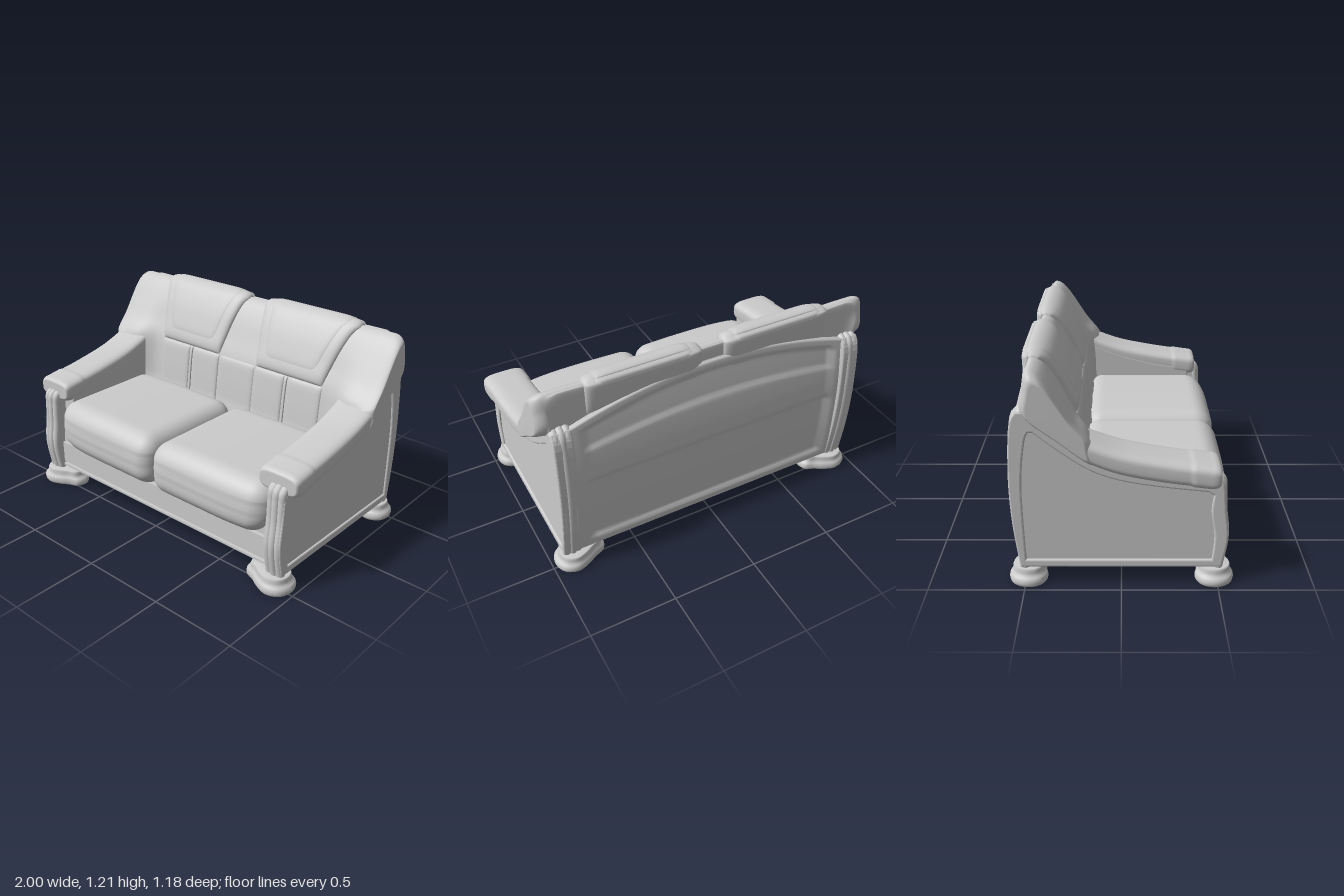
import * as THREE from 'three';
import { mergeVertices } from 'three/addons/utils/BufferGeometryUtils.js';

const material = new THREE.MeshStandardMaterial({ color: 0xcccccc, side: THREE.DoubleSide });
const { lerp, smoothstep, clamp } = THREE.MathUtils;

function add(parent, name, geometry) {
  const mesh = new THREE.Mesh(geometry, material);
  mesh.name = name;
  parent.add(mesh);
  return mesh;
}

// Smooth surface from a rule fn(u, v) -> [x, y, z]
function grid(nu, nv, fn) {
  const pos = [], idx = [];
  for (let j = 0; j <= nv; j++)
    for (let i = 0; i <= nu; i++) pos.push(...fn(i / nu, j / nv));
  for (let j = 0; j < nv; j++)
    for (let i = 0; i < nu; i++) {
      const a = j * (nu + 1) + i, d = a + nu + 1;
      idx.push(a, a + 1, d, a + 1, d + 1, d);
    }
  let g = new THREE.BufferGeometry();
  g.setAttribute('position', new THREE.Float32BufferAttribute(pos, 3));
  g.setIndex(idx);
  g = mergeVertices(g, 1e-5);
  g.computeVertexNormals();
  return g;
}

const box = (x0, x1, y0, y1, z0, z1) =>
  new THREE.BoxGeometry(x1 - x0, y1 - y0, z1 - z0).translate((x0 + x1) / 2, (y0 + y1) / 2, (z0 + z1) / 2);

// Backrest profiles as [z, y]: up the front, over the top, down the rear
const profile = pts => new THREE.CatmullRomCurve3(pts.map(([z, y]) => new THREE.Vector3(0, y, z)), true, 'catmullrom', 0.5);
const shoulder = [[-0.165, 0.835], [-0.235, 0.92], [-0.3, 1.02], [-0.36, 1.11], [-0.41, 1.163], [-0.455, 1.17], [-0.476, 1.1]];
const middleProfile = profile([[-0.19, 0.45], [-0.2, 0.58], [-0.215, 0.72], [-0.235, 0.835], [-0.285, 0.95], [-0.33, 1.05],
  [-0.38, 1.13], [-0.42, 1.165], [-0.46, 1.165], [-0.477, 1.1], [-0.48, 0.5], [-0.33, 0.45]]);
const wingProfile = profile([[-0.16, 0.5], [-0.15, 0.6], [-0.145, 0.73], ...shoulder, [-0.48, 0.5], [-0.33, 0.48]]);
const endProfile = profile([[-0.14, 0.69], [-0.14, 0.75], [-0.145, 0.8], ...shoulder, [-0.48, 0.96], [-0.3, 0.81]]);

function backPoint(x, t) {
  const ax = Math.abs(x), p = middleProfile.getPoint(t);
  p.lerp(wingProfile.getPoint(t), smoothstep(ax, 0.66, 0.84));
  p.lerp(endProfile.getPoint(t), smoothstep(ax, 0.87, 0.94));
  p.x = x;
  return p;
}

function backrest() {
  return grid(80, 96, (u, t) => {
    const s = 2 * u - 1, a = Math.abs(s);
    const q = clamp((a - 0.75) / 0.2, 0, 1) * Math.PI / 2;
    const x = Math.sign(s) * (a < 0.75 ? a / 0.75 * 0.93 : 0.93 + 0.07 * Math.sin(q));
    const k = a > 0.99 ? 0 : 1 - 0.22 * (1 - Math.cos(q));
    const p = backPoint(x, t);
    return [x, lerp(0.93, p.y, k), lerp(-0.32, p.z, k)];
  });
}

// Padded panel lying on the backrest; edges(t) gives its left and right x
function pad(t0, t1, edges, height, n = 28) {
  const ease = w => 0.5 + 0.5 * Math.sin((w - 0.5) * Math.PI);
  const rim = w => Math.sqrt(Math.max(0, 1 - Math.abs(2 * w - 1) ** 12));
  return grid(n, n * 2, (u, v) => {
    const a = ease(u), b = ease(v), t = lerp(t0, t1, b);
    const [l, r] = edges(t), x = lerp(l, r, a);
    const p = backPoint(x, t);
    const up = backPoint(x, t + 0.002).sub(backPoint(x, t - 0.002));
    const out = new THREE.Vector3(1, 0, 0).cross(up).normalize();
    p.addScaledVector(out, height * rim(a) * rim(b) - 0.004);
    return [p.x, p.y, p.z];
  });
}

// Seat cushion: rounded block with swollen faces and a tucked seam band
function cushion(w, h, d, r) {
  let g = new THREE.BoxGeometry(2, 2, 2, 36, 36, 36);
  g.deleteAttribute('uv');
  g.deleteAttribute('normal');
  g = mergeVertices(g);
  const p = g.attributes.position, half = new THREE.Vector3(w / 2, h / 2, d / 2);
  const v = new THREE.Vector3(), core = new THREE.Vector3();
  for (let i = 0; i < p.count; i++) {
    v.fromBufferAttribute(p, i);
    v.set(...v.toArray().map(c => Math.sin(c * Math.PI / 2))).multiply(half);
    core.set(...['x', 'y', 'z'].map(k => clamp(v[k], r - half[k], half[k] - r)));
    v.sub(core).setLength(r).add(core);
    const fx = v.x / half.x, fy = v.y / half.y;
    if (v.y > 0) v.y += 0.012 * (1 - fx * fx) * fy;
    if (v.z > 0) {
      const front = v.z / half.z;
      v.z += front * (0.02 * (1 - fy * fy) - 0.035 * Math.max(0, fx) ** 3);
      for (const s of [-0.02, 0.035, 0.052]) v.z -= 0.005 * front ** 4 * Math.exp(-(((v.y - s) / 0.006) ** 2));
      // the lower outer corner sweeps inward
      v.x -= 0.06 * Math.max(0, fx) * Math.max(0, -fy) ** 2;
    }
    p.setXYZ(i, v.x, v.y, v.z);
  }
  g.computeVertexNormals();
  return g;
}

// Armrest: rounded section swept between an underside and a top curve
function armrest() {
  const curve = pts => new THREE.SplineCurve(pts.map(p => new THREE.Vector2(...p)));
  const top = curve([[-0.21, 0.85], [-0.15, 0.82], [0, 0.77], [0.2, 0.73], [0.35, 0.707], [0.45, 0.692]]);
  const under = curve([[-0.21, 0.735], [-0.15, 0.69], [0, 0.632], [0.2, 0.592], [0.35, 0.572], [0.45, 0.56]]);
  const round = c => Math.sign(c) * Math.abs(c) ** 0.55;
  return grid(48, 70, (u, v) => {
    const q = clamp((v - 0.8) / 0.17, 0, 1) * Math.PI / 2, w = Math.min(v / 0.8, 1);
    const a = top.getPoint(w), b = under.getPoint(w);
    const k = v > 0.99 ? 0 : 1 - 0.35 * (1 - Math.cos(q));
    const cuff = 0.005 * (smoothstep(a.x, 0.345, 0.36) - 1);
    const th = u * Math.PI * 2;
    return [0.873 + round(Math.cos(th)) * (0.127 + cuff) * (1 - (1 - k) * 0.4) * (k ? 1 : 0),
      (a.y + b.y) / 2 + round(Math.sin(th)) * ((a.y - b.y) / 2 + cuff) * k, a.x + 0.045 * Math.sin(q)];
  });
}

// Upright slab drawn in (z, y) and given thickness inward from x = xOuter
function slab(outline, xOuter, depth, bevel, hole) {
  const path = (C, pts) => new C(pts.map(p => new THREE.Vector2(...p)));
  const shape = path(THREE.Shape, outline);
  if (hole) shape.holes.push(path(THREE.Path, hole));
  return new THREE.ExtrudeGeometry(shape, { depth, bevelEnabled: bevel > 0, bevelSize: bevel, bevelThickness: bevel, bevelSegments: 3 })
    .rotateY(-Math.PI / 2).translate(xOuter - bevel, 0, 0);
}
const smoothOutline = (pts, n) => new THREE.SplineCurve(pts.map(p => new THREE.Vector2(...p))).getPoints(n).map(p => [p.x, p.y]);

function foot() {
  const ring = new THREE.CatmullRomCurve3([[0.985, 0.49], [0.955, 0.56], [0.885, 0.588], [0.81, 0.565], [0.75, 0.53], [0.695, 0.505],
    [0.68, 0.44], [0.73, 0.39], [0.82, 0.4], [0.9, 0.385], [0.965, 0.42]].map(([x, z]) => new THREE.Vector3(x, 0, z)), true);
  const layers = [[0, 0], [0.93, 0], [0.98, 0.008], [1, 0.022], [0.98, 0.038], [0.92, 0.048], [0.84, 0.056], [0.81, 0.07],
    [0.81, 0.085], [0.77, 0.095], [0, 0.095]];
  return grid(44, layers.length - 1, (u, v) => {
    const [k, y] = layers[Math.round(v * (layers.length - 1))], p = ring.getPoint(1 - u);
    return [lerp(0.84, p.x, k), y, lerp(0.485, p.z, k)];
  });
}

// Bowed rear panel with an arched top and two soft recesses
function rearPanel() {
  const n = 64;
  return grid(60, n, (u, v) => {
    const x = 0.84 * (1 - 2 * u), arch = 0.13 * (x / 0.84) ** 2, top = 1.095 - arch, j = Math.round(v * n);
    const y = lerp(0.1, top, Math.min(j / (n - 3), 1));
    const z = -0.548 + 0.18 * Math.max(0, y - 0.62) ** 1.6 + 0.14 * Math.max(0, 0.55 - y) ** 2;
    if (j === n - 2) return [x, top, z + 0.025];
    if (j > n - 2) return [x, j === n ? 0.4 : top - 0.02, -0.485];
    const step = (e, c) => smoothstep(c, e - 0.013, e + 0.013);
    const side = step(-0.77, x) * (1 - step(0.77, x));
    const upper = step(0.87 - arch * 0.6, y) * (1 - step(1.04 - arch, y));
    const lower = step(0.16, y) * (1 - step(0.6, y));
    const band = step(0.16, y) * (1 - step(1.04 - arch, y));
    return [x, y, z + side * (0.007 * band + 0.01 * (upper + lower))];
  });
}

function sideParts() {
  const side = new THREE.Group();
  const topEdge = smoothOutline([[0.46, 0.568], [0.2, 0.6], [0, 0.64], [-0.15, 0.7], [-0.3, 0.8], [-0.47, 0.955]], 24);
  const outline = [...smoothOutline([[0.51, 0.11], [0.535, 0.27], [0.52, 0.42], [0.51, 0.54]], 14), [0.49, 0.575], ...topEdge,
    ...smoothOutline([[-0.51, 0.955], [-0.54, 0.88], [-0.555, 0.6], [-0.545, 0.35], [-0.515, 0.11]], 16)];
  const opening = [...smoothOutline([[0.475, 0.135], [0.485, 0.28], [0.465, 0.42], [0.475, 0.52]], 12),
    ...smoothOutline([[0.44, 0.543], [0.2, 0.57], [0, 0.605], [-0.15, 0.66], [-0.3, 0.76], [-0.43, 0.865]], 20),
    ...smoothOutline([[-0.46, 0.865], [-0.485, 0.8], [-0.51, 0.55], [-0.5, 0.135]], 10)];
  add(side, 'sideFrame', slab(outline, 0.942, 0.09, 0.01, opening));
  add(side, 'sidePanel', slab(outline, 0.93, 0.09, 0));
  add(side, 'armInnerWall', slab([[0.44, 0.28], [0.44, 0.6], [0.2, 0.64], [0, 0.69], [-0.15, 0.75], [-0.3, 0.78], [-0.3, 0.28]], 0.84, 0.07, 0.01));
  add(side, 'armrest', armrest());
  // Three ribs on the front and rear posts
  const posts = { frontPostRib: [1, [[0.5, 0.092], [0.526, 0.27], [0.511, 0.42], [0.506, 0.53], [0.498, 0.59], [0.45, 0.61]]],
    rearPostRib: [-1, [[-0.5, 0.092], [-0.532, 0.35], [-0.541, 0.6], [-0.526, 0.86], [-0.505, 0.945], [-0.45, 0.965]]] };
  for (const [name, [dir, pts]] of Object.entries(posts))
    for (const x of [0.851, 0.884, 0.917]) {
      const out = x === 0.884 ? 0.006 * dir : 0;
      const path = new THREE.CatmullRomCurve3(pts.map(([z, y]) => new THREE.Vector3(x, y, z + out)));
      add(side, name, new THREE.TubeGeometry(path, 40, 0.024, 14));
    }
  const footGeometry = foot();
  add(side, 'frontFoot', footGeometry);
  add(side, 'rearFoot', footGeometry).scale.z = -1;
  return side;
}

export function createModel() {
  const sofa = new THREE.Group();
  sofa.name = 'sofa';
  // Base
  add(sofa, 'base', box(-0.84, 0.84, 0.1, 0.4, -0.5, 0.47));
  add(sofa, 'frontRail', box(-0.84, 0.84, 0.135, 0.27, 0.46, 0.492));
  add(sofa, 'frontLip', box(-0.84, 0.84, 0.112, 0.125, 0.46, 0.5));
  add(sofa, 'rearPanel', rearPanel());
  add(sofa, 'backrest', backrest());
  const centre = 3 / 12;
  add(sofa, 'lumbarCentre', pad(0.03, centre, () => [-0.138, 0.138], 0.012, 16));
  const seat = cushion(0.815, 0.315, 0.765, 0.1).translate(0.4075, 0.4075, 0.158);
  for (const s of [1, -1]) {
    const name = s > 0 ? 'left' : 'right';
    const span = (a, b) => (s > 0 ? [a, b] : [-b, -a]);
    // Headrest pad with a raised trapezoid, above two lumbar pads
    const flare = (a0, a1, b0, b1) => t => {
      const k = clamp((t - centre) / 0.33, 0, 1);
      return span(lerp(a0, a1, k), lerp(b0, b1, k));
    };
    add(sofa, name + 'Headrest', pad(centre, 0.77, flare(0.145, 0.065, 0.62, 0.73), 0.034));
    add(sofa, name + 'HeadrestPanel', pad(centre + 0.03, 0.74, flare(0.2, 0.11, 0.56, 0.69), 0.041));
    add(sofa, name + 'LumbarInner', pad(0.03, centre, () => span(0.142, 0.36), 0.014, 16));
    add(sofa, name + 'LumbarSeam', pad(0.03, centre, () => span(0.362, 0.383), 0.012, 8));
    add(sofa, name + 'LumbarOuter', pad(0.03, centre, () => span(0.385, 0.625), 0.014, 16));
    add(sofa, name + 'SeatCushion', seat).scale.x = s;
    const side = sideParts();
    side.name = name + 'Side';
    side.scale.x = s;
    sofa.add(side);
  }
  return sofa;
}
